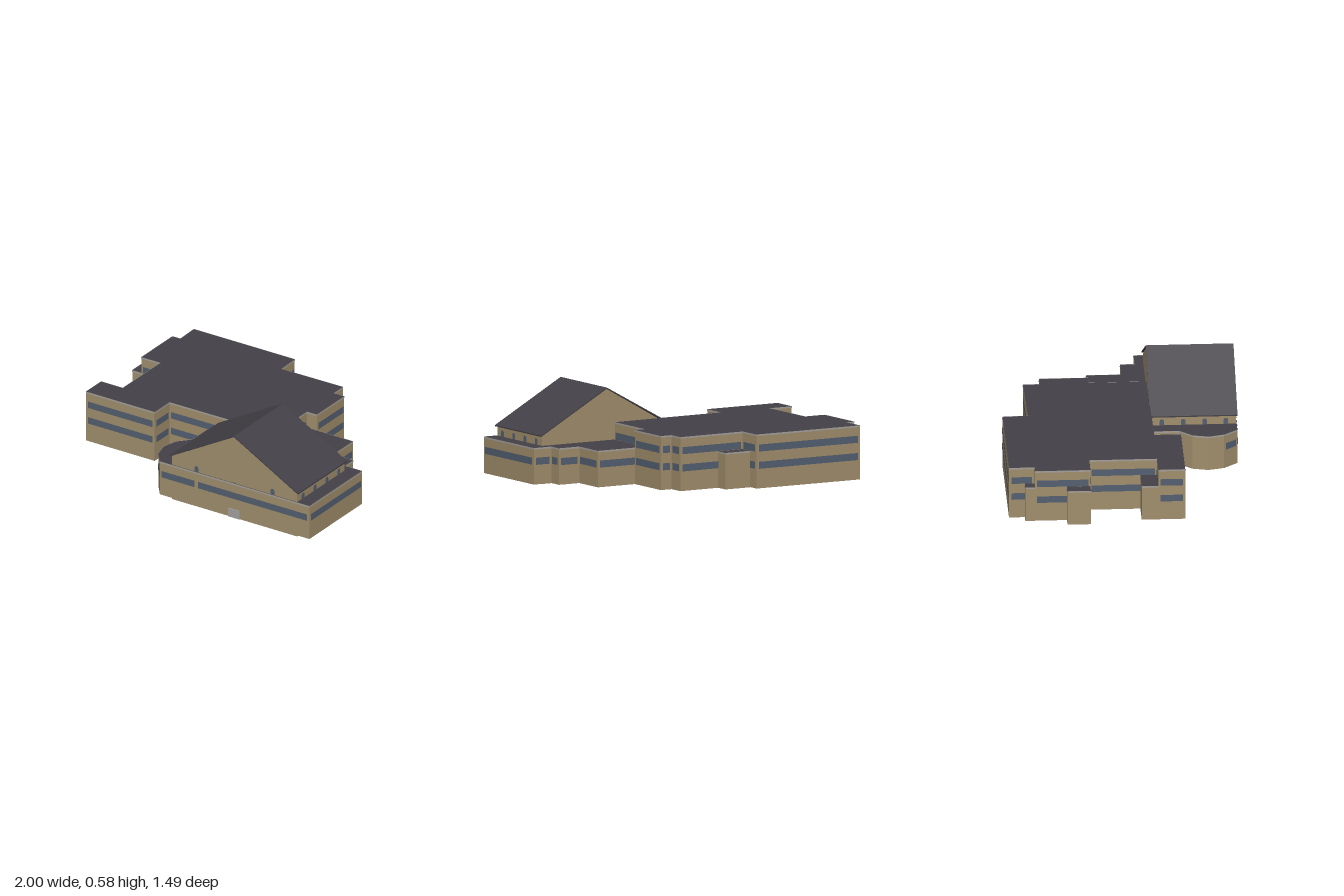
import * as THREE from 'three';

const mat = (name, color, side = THREE.FrontSide) => {
  const m = new THREE.MeshStandardMaterial({ color, side });
  m.name = name;
  return m;
};

export function createModel() {
  const model = new THREE.Group();
  model.name = 'building';
  const wall = mat('tan wall', 0xa08e6c, THREE.DoubleSide);
  const roof = mat('dark roof', 0x434147, THREE.DoubleSide);
  const glass = mat('blue grey window', 0x535f70, THREE.DoubleSide);
  const trim = mat('light grey trim', 0xa3a19e, THREE.DoubleSide);

  const add = (parent, name, geo, material) => {
    const mesh = new THREE.Mesh(geo, material);
    mesh.name = name;
    parent.add(mesh);
    return mesh;
  };

  // Upright panel between plan points a and b, facing outward
  function panel(parent, name, a, b, y0, y1, material, out = 0, margin = 0) {
    const dx = b[0] - a[0], dz = b[1] - a[1], len = Math.hypot(dx, dz);
    const nx = -dz / len, nz = dx / len;
    const m = add(parent, name, new THREE.PlaneGeometry(len - 2 * margin, y1 - y0), material);
    m.position.set((a[0] + b[0]) / 2 + nx * out, (y0 + y1) / 2, (a[1] + b[1]) / 2 + nz * out);
    m.rotation.y = Math.atan2(nx, nz);
  }

  const bands = [[0.135, 0.18], [0.245, 0.29]];

  // Open-bottomed block: walls, coping trim, ribbon windows, flat roof
  function block(name, pts, top, { skip = [], windows = () => true, split = {} } = {}) {
    const g = new THREE.Group();
    g.name = name;
    model.add(g);
    pts.forEach((a, i) => {
      if (skip.includes(i)) return;
      const b = pts[(i + 1) % pts.length];
      panel(g, 'wall', a, b, 0.01, top, wall);
      panel(g, 'coping', a, b, top - 0.01, top, trim, 0.003);
      if (!windows(i)) return;
      const stops = split[i] ? [a, split[i], b] : [a, b];
      for (const [y0, y1] of bands.filter(v => v[1] < top))
        for (let k = 0; k + 1 < stops.length; k++)
          panel(g, 'ribbonWindow', stops[k], stops[k + 1], y0, y1, glass, 0.003, 0.014);
    });
    const shape = new THREE.Shape(pts.map(([x, z]) => new THREE.Vector2(x, -z)));
    const r = add(g, 'flatRoof', new THREE.ShapeGeometry(shape), roof);
    r.rotation.x = -Math.PI / 2;
    r.position.y = top;
    return g;
  }

  // Two-storey main block
  const main = block('mainBlock', [
    [-0.95, 0.365], [-0.43, 0.365], [-0.43, 0.197], [0.365, 0.19], [0.365, -0.175], [0.44, -0.175],
    [0.44, -0.485], [0.36, -0.485], [0.36, -0.59], [-0.105, -0.585], [-0.11, -0.745], [-0.875, -0.745],
    [-0.87, -0.585], [-0.93, -0.585], [-0.93, -0.233], [-0.785, -0.233], [-0.785, 0.195], [-0.95, 0.195],
  ], 0.355, { windows: i => ![4, 12].includes(i) });
  // Inner face of the courtyard windows, and upper windows over the wing
  for (const [y0, y1] of bands)
    panel(main, 'innerWindow', [-0.43, 0.197], [0.365, 0.19], y0, y1, glass, -0.003, 0.014);
  panel(main, 'upperWindow', [0.365, 0.19], [0.365, -0.175], 0.245, 0.29, glass, 0.003, 0.014);

  // Single-storey wing with a faceted bay
  block('lowWing', [
    [-0.14, 0.738], [0.995, 0.738], [0.995, 0.143], [0.865, 0.143], [0.865, 0.05], [0.715, 0.05],
    [0.715, -0.173], [0.365, -0.173], [0.365, 0.19], [-0.14, 0.196], [-0.14, 0.37], [-0.21, 0.45],
    [-0.235, 0.55], [-0.21, 0.65],
  ], 0.243, {
    skip: [7, 8], windows: i => i < 7 || i === 13, split: { 0: [0.137, 0.738] },
  });

  // Small single-storey annexes: [x0, x1, z0, z1]
  for (const [x0, x1, z0, z1] of [
    [-0.105, 0.078, -0.675, -0.585], [-0.93, -0.87, -0.645, -0.585],
    [-1, -0.93, -0.382, -0.234], [-0.95, -0.785, 0.09, 0.195],
  ]) block('annex', [[x0, z1], [x1, z1], [x1, z0], [x0, z0]], 0.243, { windows: () => false });

  // Gabled hall
  const hall = new THREE.Group();
  hall.name = 'gabledHall';
  model.add(hall);
  const X0 = -0.05, X1 = 0.9, XM = 0.425, Z0 = 0.197, Z1 = 0.734;
  const gable = new THREE.Shape([[X0, 0], [X1, 0], [X1, 0.303], [XM, 0.572], [X0, 0.303]]
    .map(p => new THREE.Vector2(...p)));
  for (const z of [Z0, Z1]) add(hall, 'gableWall', new THREE.ShapeGeometry(gable), wall).position.z = z;
  panel(hall, 'sideWall', [X1, Z1], [X1, Z0], 0, 0.303, wall);
  panel(hall, 'sideWall', [X0, Z0], [X0, Z1], 0, 0.303, wall);

  // Pitched roof
  const pitch = new THREE.Shape([[-0.062, 0.302], [XM, 0.572], [0.912, 0.302], [0.912, 0.31], [XM, 0.58], [-0.062, 0.31]]
    .map(p => new THREE.Vector2(...p)));
  add(hall, 'pitchedRoof', new THREE.ExtrudeGeometry(pitch, { depth: 0.555, bevelEnabled: false }), roof)
    .position.z = 0.188;

  // Arched windows, set through the hall walls
  const arch = new THREE.Shape();
  arch.moveTo(-0.014, 0.13);
  arch.lineTo(0.014, 0.13);
  arch.lineTo(0.014, 0.27);
  arch.absarc(0, 0.27, 0.014, 0, Math.PI, false);
  const archGeo = new THREE.ExtrudeGeometry(arch, { depth: 0.006, bevelEnabled: false, curveSegments: 6 });
  archGeo.translate(0, 0, -0.003);
  for (const x of [0.137, 0.713]) add(hall, 'archedWindow', archGeo, glass).position.set(x, 0, Z1);
  add(hall, 'archedWindow', archGeo, glass).position.set(XM, -0.035, Z1);
  for (const z of [0.67, 0.535, 0.4, 0.265])
    for (const x of [X0, X1]) {
      const w = add(hall, 'archedWindow', archGeo, glass);
      w.position.set(x, 0, z);
      w.rotation.y = Math.PI / 2;
    }

  // Entrance door
  add(hall, 'door', new THREE.BoxGeometry(0.085, 0.058, 0.009), trim).position.set(XM, 0.032, 0.74);
  return model;
}
